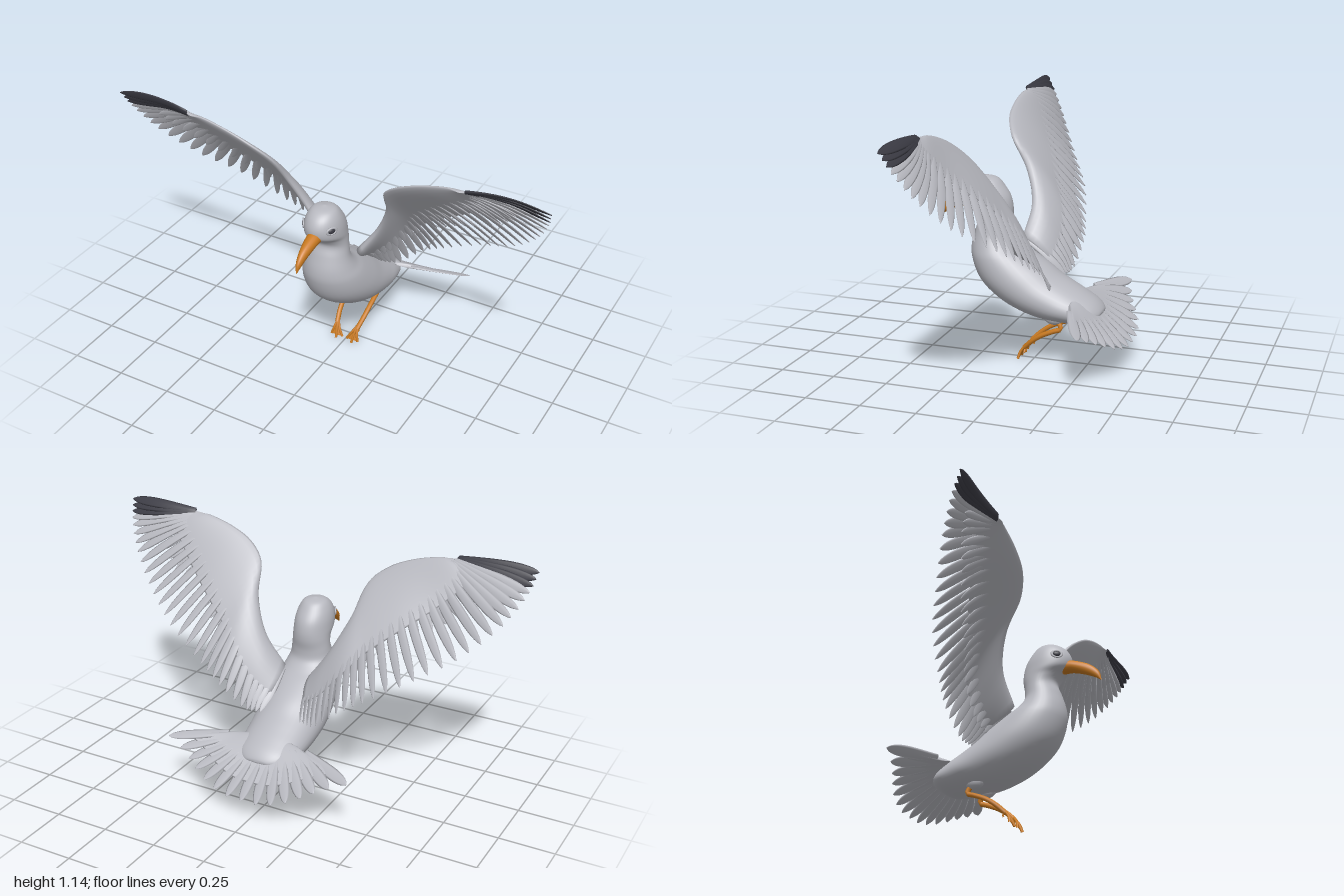
import * as THREE from 'three';

const V = (x, y, z) => new THREE.Vector3(x, y, z);
const plumage = new THREE.MeshStandardMaterial({ color: 0xb8b9c0 });
plumage.name = 'greyPlumage';
const dark = new THREE.MeshStandardMaterial({ color: 0x3c3c45 });
dark.name = 'darkFeather';
const orange = new THREE.MeshStandardMaterial({ color: 0xc97a20 });
orange.name = 'orangeHorn';

function mesh(geometry, material, name) {
  const m = new THREE.Mesh(geometry, material);
  m.name = name;
  return m;
}

// Closed skin over rings of equal size, with capped ends and outward winding
function loft(rings) {
  const n = rings[0].length, pts = rings.flat(), idx = [];
  for (let i = 0; i < rings.length - 1; i++)
    for (let j = 0; j < n; j++) {
      const a = i * n + j, b = i * n + (j + 1) % n;
      idx.push(a, b, a + n, b, b + n, a + n);
    }
  [0, rings.length - 1].forEach((r, end) => {
    const c = pts.length;
    pts.push(rings[r].reduce((s, p) => s.add(p), V(0, 0, 0)).divideScalar(n));
    for (let j = 0; j < n; j++) {
      const a = r * n + j, b = r * n + (j + 1) % n;
      if (end) idx.push(a, b, c); else idx.push(b, a, c);
    }
  });
  let volume = 0;
  for (let i = 0; i < idx.length; i += 3)
    volume += pts[idx[i]].dot(V(0, 0, 0).crossVectors(pts[idx[i + 1]], pts[idx[i + 2]]));
  if (volume < 0) idx.reverse();
  const g = new THREE.BufferGeometry().setFromPoints(pts);
  g.setIndex(idx);
  g.computeVertexNormals();
  return g;
}

// Symmetric body from stations: [frontZ, frontY, backZ, backY, halfWidth]
function bodyLoft(stations, steps, sides) {
  const front = new THREE.CatmullRomCurve3(stations.map(s => V(s[4], s[1], s[0])));
  const back = new THREE.CatmullRomCurve3(stations.map(s => V(0, s[3], s[2])));
  const rings = [];
  for (let i = 0; i <= steps; i++) {
    const f = front.getPoint(i / steps), b = back.getPoint(i / steps), w = Math.max(f.x, 0.001);
    f.x = 0;
    const mid = f.clone().lerp(b, 0.5), half = f.clone().sub(mid);
    rings.push(Array.from({ length: sides }, (_, j) => {
      const a = j / sides * Math.PI * 2;
      return mid.clone().addScaledVector(half, Math.cos(a)).add(V(w * Math.sin(a), 0, 0));
    }));
  }
  return loft(rings);
}

// Feathered fan between a leading curve and a curve of feather tips
function featherFan(o) {
  const group = new THREE.Group();
  group.name = o.name;
  const s = o.side, flip = p => V(p[0] * s, p[1], p[2]);
  const lead = new THREE.CatmullRomCurve3(o.lead.map(flip));
  const tips = new THREE.CatmullRomCurve3(o.tips.map(flip));
  const mid = t => lead.getPoint(t).lerp(tips.getPoint(t), 0.5);
  const frame = t => {
    const l = lead.getPoint(t), chord = tips.getPoint(t).sub(l);
    const span = mid(Math.min(1, t + 0.02)).sub(mid(Math.max(0, t - 0.02)));
    const n = V(0, 0, 0).crossVectors(chord, span).normalize().multiplyScalar(s);
    const across = V(0, 0, 0).crossVectors(n, chord).normalize();
    const at = u => l.clone().addScaledVector(chord, u).addScaledVector(n, -o.bow * Math.sin(Math.PI * u));
    return { n, across, at };
  };

  // Fleshy front part, thick at the leading edge
  const rings = [];
  for (let i = 0; i <= 40; i++) {
    const t = i / 40, { n, at } = frame(t);
    rings.push(Array.from({ length: 20 }, (_, j) => {
      const a = j / 20 * Math.PI * 2, u = (1 - Math.cos(a)) / 2;
      const h = Math.sin(a) * o.thick(t) * (1.25 - u);
      return at(u * o.cover(t)).addScaledVector(n, h);
    }));
  }
  group.add(mesh(loft(rings), plumage, o.name + 'Covert'));

  // Layers of overlapping, gently twisted feathers
  for (const layer of o.layers)
    for (let i = 0; i < layer.count; i++) {
      const t = i / (layer.count - 1);
      if (t > layer.until) continue;
      const { n, across, at } = frame(t);
      const wide = across.clone().multiplyScalar(Math.cos(0.2)).addScaledVector(n, Math.sin(0.2));
      const rows = [];
      for (let k = 0; k <= 14; k++) {
        const v = 1 - (1 - k / 14) ** 1.6;
        const w = layer.width(t) * (0.5 + 0.5 * v) * Math.max(0.02, (1 - v ** 5) ** 0.7);
        const c = at(layer.from + (layer.to - layer.from) * v).addScaledVector(n, layer.lift * v);
        rows.push(Array.from({ length: 8 }, (_, j) => {
          const a = j / 8 * Math.PI * 2;
          return c.clone().addScaledVector(wide, w * Math.cos(a))
            .addScaledVector(n, 0.005 * (1.1 - v) * Math.sin(a) + 0.0015 * Math.sin(a));
        }));
      }
      group.add(mesh(loft(rows), t > layer.darkFrom ? dark : plumage, layer.name));
    }
  return group;
}

function wing(side) {
  return featherFan({
    name: side > 0 ? 'leftWing' : 'rightWing', side, bow: 0.02,
    lead: [[0.08, 0.54, 0.085], [0.17, 0.68, 0.07], [0.235, 0.83, 0.12], [0.265, 0.96, 0.2],
      [0.34, 1.03, 0.24], [0.45, 1.08, 0.255], [0.57, 1.11, 0.26], [0.6, 1.11, 0.263], [0.61, 1.11, 0.265]],
    tips: [[0.1, 0.38, -0.11], [0.17, 0.385, -0.125], [0.29, 0.48, -0.14], [0.42, 0.56, -0.11],
      [0.6, 0.67, -0.05], [0.77, 0.78, 0.05], [0.9, 0.91, 0.14], [0.97, 1.03, 0.21], [0.995, 1.12, 0.26]],
    thick: t => 0.026 - 0.02 * t,
    cover: t => 0.64 * (1 - 0.8 * t ** 3),
    layers: [
      { name: 'flightFeather', count: 29, from: 0.1, to: 1, lift: 0, until: 1, darkFrom: 0.9, width: t => 0.024 + 0.008 * t },
      { name: 'covertFeather', count: 25, from: 0.15, to: 0.68, lift: 0.01, until: 0.86, darkFrom: 2, width: () => 0.022 }
    ]
  });
}

function tail() {
  const half = [[0.1, 0.14, -0.45], [0.19, 0.165, -0.43], [0.27, 0.2, -0.395], [0.34, 0.235, -0.36], [0.44, 0.278, -0.33]];
  const mirrored = half.map(([x, y, z]) => [-x, y, z]).reverse();
  const tips = [...mirrored, [0, 0.135, -0.453], ...half];
  const lead = tips.map((_, i) => {
    const k = (i - 5) / 5;
    return [0.13 * k, 0.335 - 0.02 * k * k, -0.2];
  });
  return featherFan({
    name: 'tail', side: 1, bow: 0, lead, tips,
    thick: () => 0.01, cover: () => 0.72,
    layers: [{ name: 'tailFeather', count: 15, from: 0.2, to: 1, lift: 0, until: 1, darkFrom: 2, width: () => 0.036 }]
  });
}

function leg(side) {
  const g = new THREE.Group();
  g.name = side > 0 ? 'leftLeg' : 'rightLeg';
  const tube = (pts, r, name) => g.add(mesh(new THREE.TubeGeometry(
    new THREE.CatmullRomCurve3(pts.map(p => V(p[0] * side, p[1], p[2]))), 20, r, 8), orange, name));
  const thigh = mesh(new THREE.SphereGeometry(0.035, 16, 12), plumage, 'thigh');
  thigh.scale.set(0.8, 1, 1.3);
  thigh.position.set(0.06 * side, 0.23, -0.11);
  g.add(thigh);
  tube([[0.06, 0.215, -0.122], [0.062, 0.195, -0.138], [0.064, 0.178, -0.142], [0.066, 0.165, -0.11],
    [0.066, 0.14, -0.055], [0.062, 0.11, -0.012], [0.052, 0.07, 0.03]], 0.011, 'shank');
  // Webbed foot hanging steeply down
  const toeEnds = [[0.012, 0.018, 0.056], [0.04, 0.008, 0.066], [0.068, 0.018, 0.056]];
  for (const e of toeEnds)
    tube([[0.052, 0.085, 0.02], [(0.05 + e[0]) / 2, 0.05, 0.046], e], 0.006, 'toe');
  tube([[0.054, 0.075, 0.026], [0.055, 0.06, 0.02], [0.054, 0.05, 0.022]], 0.004, 'backToe');
  const web = [0, 0.35, 0.7, 1].map(v => Array.from({ length: 10 }, (_, j) => {
    const a = j / 10 * Math.PI * 2, w = 0.006 + 0.02 * v;
    return V(side * (0.052 - 0.012 * v + w * Math.cos(a)), 0.085 - 0.063 * v, 0.022 + 0.036 * v + 0.003 * Math.sin(a));
  }));
  g.add(mesh(loft(web), orange, 'web'));
  return g;
}

// Eye set into the side of the head, with a raised lid
function eye(side) {
  const g = new THREE.Group();
  g.name = side > 0 ? 'leftEye' : 'rightEye';
  const ball = mesh(new THREE.SphereGeometry(0.014, 16, 12), dark, 'eyeball');
  ball.scale.set(1.2, 0.85, 0.5);
  const lid = mesh(new THREE.TorusGeometry(0.018, 0.005, 8, 24), plumage, 'eyelid');
  lid.scale.set(1.2, 0.85, 0.8);
  g.add(ball, lid);
  g.position.set(0.068 * side, 0.757, 0.28);
  g.rotation.y = side * 1.03;
  return g;
}

export function createModel() {
  const bird = new THREE.Group();
  bird.name = 'bird';
  bird.add(mesh(bodyLoft([
    [0.22, 0.834, 0.218, 0.834, 0.002], [0.272, 0.822, 0.17, 0.82, 0.05], [0.305, 0.795, 0.138, 0.785, 0.072],
    [0.322, 0.755, 0.113, 0.745, 0.083], [0.315, 0.715, 0.102, 0.7, 0.086], [0.275, 0.685, 0.102, 0.66, 0.085],
    [0.252, 0.65, 0.11, 0.61, 0.088], [0.268, 0.6, 0.105, 0.565, 0.096], [0.287, 0.53, 0.07, 0.53, 0.115],
    [0.286, 0.47, 0.02, 0.5, 0.135], [0.245, 0.37, -0.06, 0.45, 0.152], [0.14, 0.28, -0.12, 0.405, 0.157],
    [0, 0.222, -0.18, 0.37, 0.152], [-0.13, 0.205, -0.24, 0.335, 0.142], [-0.25, 0.207, -0.29, 0.3, 0.115],
    [-0.305, 0.235, -0.315, 0.27, 0.06], [-0.317, 0.255, -0.318, 0.257, 0.004]
  ], 80, 36), plumage, 'body'));
  bird.add(mesh(bodyLoft([
    [0.29, 0.752, 0.28, 0.69, 0.034], [0.335, 0.741, 0.325, 0.688, 0.03], [0.41, 0.708, 0.39, 0.665, 0.02],
    [0.448, 0.667, 0.43, 0.644, 0.011], [0.456, 0.629, 0.453, 0.628, 0.002]
  ], 24, 18), orange, 'beak'));
  bird.add(tail());
  for (const side of [1, -1]) bird.add(wing(side), leg(side), eye(side));
  return bird;
}
